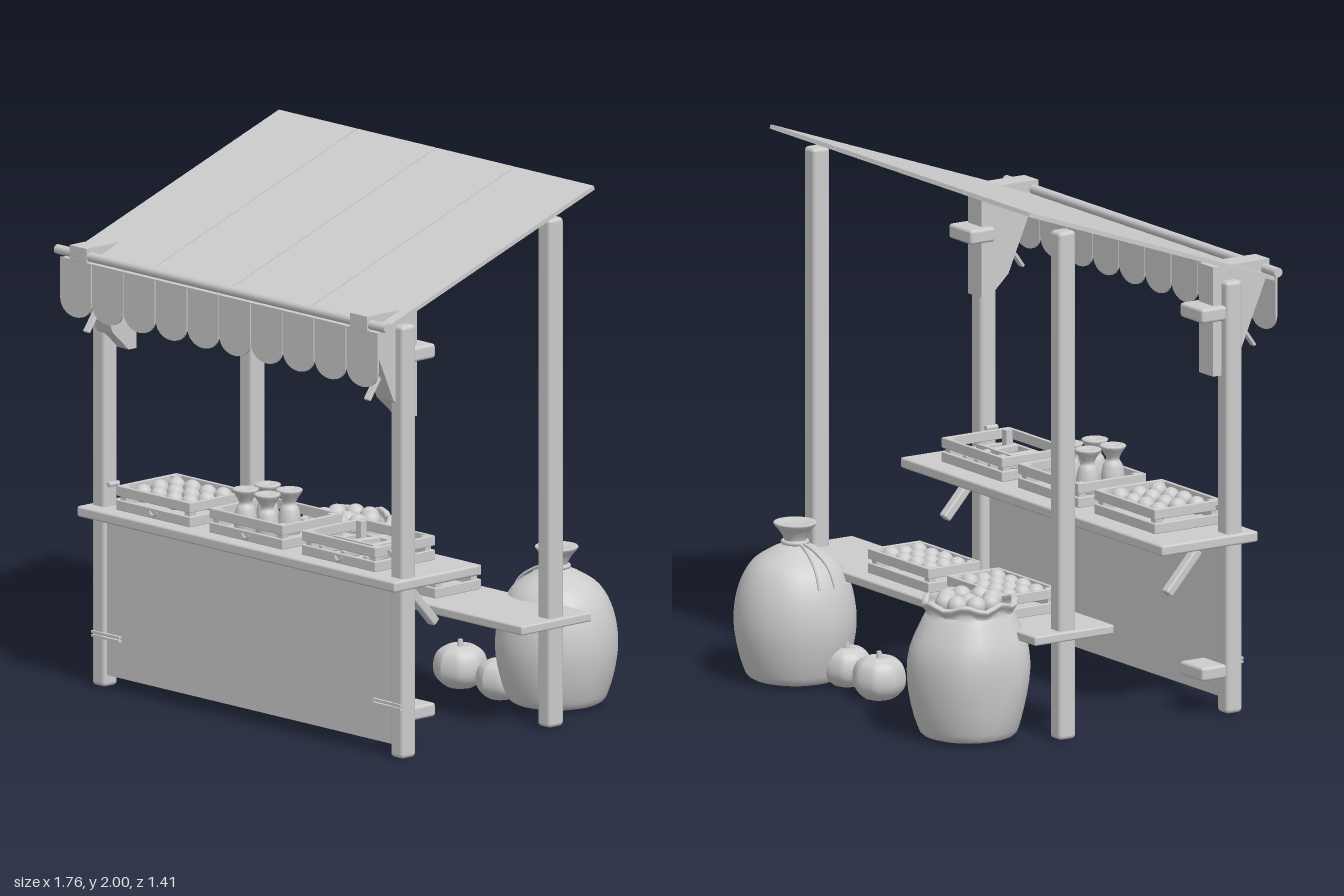
import * as THREE from 'three';
import { RoundedBoxGeometry } from 'three/addons/geometries/RoundedBoxGeometry.js';

const grey = new THREE.MeshStandardMaterial({ color: 0xcccccc, side: THREE.DoubleSide });
grey.name = 'plain grey';

export function createModel() {
  const root = new THREE.Group();
  root.name = 'marketStall';

  function add(name, geo, x = 0, y = 0, z = 0, parent = root) {
    const m = new THREE.Mesh(geo, grey);
    m.name = name;
    m.position.set(x, y, z);
    parent.add(m);
    return m;
  }
  const box = (name, w, h, d, x, y, z, parent) => add(name, new THREE.BoxGeometry(w, h, d), x, y, z, parent);
  const beam = (name, w, h, d, x, y, z, parent) =>
    add(name, new RoundedBoxGeometry(w, h, d, 2, Math.min(w, h, d) * 0.22), x, y, z, parent);
  const lathe = (pts, seg = 28) => new THREE.LatheGeometry(
    new THREE.SplineCurve(pts.map(p => new THREE.Vector2(...p))).getPoints(32).map(p => p.setX(Math.max(p.x, 0))), seg);
  const shapeOf = pts => new THREE.Shape(pts.map(p => new THREE.Vector2(...p)));

  // Posts, brackets, pegs and braces, mirrored on both sides
  const gusset = new THREE.ExtrudeGeometry(
    shapeOf([[0.707, 1.675], [0.457, 1.675], [0.457, 1.265], [0.495, 1.265], [0.575, 1.34], [0.692, 1.61], [0.707, 1.62]]),
    { depth: 0.09, bevelEnabled: false });
  gusset.rotateY(-Math.PI / 2); // profile x becomes z, depth runs to -x
  gusset.translate(0.045, 0, 0);
  for (const s of [-1, 1]) {
    beam('frontPost', 0.07, 1.62, 0.07, s * 0.797, 0.81, 0.529);
    beam('backPost', 0.07, 1.905, 0.074, s * 0.797, 0.9525, -0.207);
    add('roofBracket', gusset, s * 0.75, 0, 0);
    beam('upperPeg', 0.15, 0.055, 0.11, s * 0.75, 1.503, 0.445);
    beam('lowerPeg', 0.15, 0.052, 0.11, s * 0.75, 0.16, 0.445);
    for (const y of [0.187, 0.201]) box('panelStrap', 0.15, 0.009, 0.012, s * 0.75, y, 0.565);
    beam('counterBrace', 0.04, 0.2, 0.035, s * 0.72, 0.53, 0.37).rotation.x = 0.74;
    beam('valanceBrace', 0.03, 0.155, 0.012, s * 0.75, 1.412, 0.62).rotation.x = -0.62;
    const knob = add('sidePeg', new THREE.CylinderGeometry(0.01, 0.01, 0.05, 10), s * 0.75, 0.76, 0.53);
    knob.rotation.x = Math.PI / 2;
  }

  // Front panel, counter and back shelf
  box('frontPanel', 1.56, 0.6, 0.02, 0.003, 0.345, 0.54);
  beam('counter', 1.7, 0.04, 0.425, 0, 0.655, 0.408);
  beam('backShelf', 1.7, 0.035, 0.35, 0, 0.392, -0.19);

  // Sloping roof in four boards
  const roof = new THREE.Group();
  roof.name = 'roof';
  roof.position.set(0, 1.802, 0.158);
  roof.rotation.x = Math.atan2(0.385, 1.085);
  for (let i = 0; i < 4; i++) box('roofBoard', 0.417, 0.016, 1.15, -0.633 + i * 0.422, 0, 0, roof);
  root.add(roof);

  // Front rail and scalloped valance
  const rail = add('frontRail', new THREE.CylinderGeometry(0.018, 0.018, 1.765, 12), 0, 1.642, 0.686);
  rail.rotation.z = Math.PI / 2;
  const scallop = new THREE.Shape();
  scallop.moveTo(-0.083, 0);
  scallop.lineTo(-0.083, -0.15);
  scallop.bezierCurveTo(-0.08, -0.235, 0.08, -0.235, 0.083, -0.15);
  scallop.lineTo(0.083, 0);
  const scallopGeo = new THREE.ExtrudeGeometry(scallop, { depth: 0.008, bevelEnabled: false, curveSegments: 14 });
  for (let i = 0; i < 10; i++) add('valanceScallop', scallopGeo, (i - 4.5) * 0.17, 1.622, 0.697);

  // Slatted crates
  function crate(x, y, z, w, d, h = 0.095) {
    const g = new THREE.Group();
    g.name = 'crate';
    g.position.set(x, y, z);
    root.add(g);
    box('crateBase', w - 0.02, 0.012, d - 0.02, 0, 0.012, 0, g);
    for (const s of [-1, 1]) {
      for (const k of [0.24, 0.8]) {
        beam('longSlat', w, h * 0.4, 0.014, 0, h * k, s * (d / 2 - 0.007), g);
        beam('endSlat', 0.014, h * 0.4, d, s * (w / 2 - 0.007), h * k, 0, g);
      }
      for (const t of [-1, 1]) box('cornerBlock', 0.03, h * 0.95, 0.03, s * (w / 2 - 0.026), h * 0.5, t * (d / 2 - 0.026), g);
    }
    const handle = add('crateHandle', new THREE.TorusGeometry(0.018, 0.006, 6, 12, Math.PI), 0, h * 0.35, d / 2, g);
    handle.rotation.z = Math.PI;
    return g;
  }
  const fruit = new THREE.SphereGeometry(0.034, 14, 10);
  function fillFruit(g, w, d, y) {
    for (let i = 0; i < 4; i++) for (let j = 0; j < 3; j++)
      add('fruit', fruit, (i - 1.5) * (w - 0.06) / 4, y + 0.004 * ((i + j) % 2), (j - 1) * (d - 0.05) / 3, g);
  }
  const cz = 0.42, cd = 0.3, cw = 0.393;
  fillFruit(crate(-0.495, 0.675, cz, cw, cd), cw, cd, 0.068);

  // Middle crate with tied jars
  const jars = crate(0, 0.675, cz, cw, cd);
  const jarGeo = lathe([[0, 0], [0.035, 0.002], [0.044, 0.05], [0.036, 0.1], [0.024, 0.122], [0.034, 0.145], [0.05, 0.172], [0.03, 0.176], [0, 0.168]], 12);
  for (const x of [-0.06, 0.057]) for (const z of [-0.015, 0.095]) add('jar', jarGeo, x, 0.008, z, jars);

  // Right crate with divider sticks
  const tray = crate(0.495, 0.675, cz, cw, cd);
  for (const x of [-0.1, 0, 0.1]) {
    const stick = beam('divider', 0.025, 0.03, cd - 0.04, x, 0.035, 0, tray);
    stick.rotation.y = x * 1.5;
  }
  box('crossDivider', cw - 0.03, 0.03, 0.014, 0, 0.04, 0, tray);

  // Crates on the back shelf
  for (const x of [0.12, -0.39]) fillFruit(crate(x, 0.41, -0.195, cw, 0.23), cw, 0.23, 0.07);

  // Tied sack
  const tied = new THREE.Group();
  tied.name = 'tiedSack';
  tied.position.set(0.535, 0, -0.482);
  root.add(tied);
  add('sackBody', lathe([[0, 0], [0.15, 0.003], [0.195, 0.06], [0.225, 0.2], [0.212, 0.33], [0.165, 0.43], [0.09, 0.485], [0.042, 0.505]]), 0, 0, 0, tied);
  const neck = lathe([[0.042, 0.5], [0.04, 0.52], [0.055, 0.55], [0.08, 0.585], [0.04, 0.582], [0, 0.578]]);
  add('sackNeck', neck, 0, 0, 0, tied);
  const tie = add('sackTie', new THREE.TorusGeometry(0.044, 0.009, 8, 20), 0, 0.512, 0, tied);
  tie.rotation.x = Math.PI / 2;
  for (const a of [-0.15, 0.2]) {
    const path = new THREE.CatmullRomCurve3([[0.045, 0.51], [0.1, 0.49], [0.17, 0.44], [0.205, 0.37]]
      .map(([r, y]) => new THREE.Vector3(-r * Math.cos(a), y, r * Math.sin(a))));
    add('tieEnd', new THREE.TubeGeometry(path, 12, 0.006, 6), 0, 0, 0, tied);
  }

  // Open sack with a wavy rim
  const open = new THREE.Group();
  open.name = 'openSack';
  open.position.set(-0.565, 0, -0.465);
  root.add(open);
  const sackGeo = lathe([[0, 0], [0.15, 0.003], [0.19, 0.05], [0.22, 0.2], [0.218, 0.33], [0.175, 0.44], [0.158, 0.475], [0.176, 0.505], [0.15, 0.51], [0.14, 0.47], [0, 0.465]], 32);
  const p = sackGeo.attributes.position;
  for (let i = 0; i < p.count; i++) {
    const a = Math.atan2(p.getZ(i), p.getX(i)), y = p.getY(i);
    const k = 1 + 0.035 * Math.sin(a * 5 + y * 6) * Math.min(1, y * 5);
    p.setXYZ(i, p.getX(i) * k, y + (y > 0.47 ? 0.01 * Math.sin(a * 7) : 0), p.getZ(i) * k);
  }
  sackGeo.computeVertexNormals();
  add('sackBody', sackGeo, 0, 0, 0, open);
  const ball = new THREE.SphereGeometry(0.037, 16, 12);
  for (let i = 0; i < 8; i++) {
    const a = i * Math.PI / 4 + 0.3;
    add('sackFruit', ball, 0.09 * Math.cos(a), 0.503, 0.09 * Math.sin(a), open);
  }
  add('sackFruit', ball, 0, 0.495, 0, open);

  // Ribbed gourds on the ground
  function gourd(x, z, r) {
    const geo = lathe([[0, 0.012], [0.5, 0], [0.9, 0.35], [1, 0.8], [0.85, 1.3], [0.45, 1.55], [0.15, 1.5], [0, 1.4]], 40);
    const q = geo.attributes.position;
    for (let i = 0; i < q.count; i++) {
      const k = 1 - 0.05 * Math.abs(Math.sin(4 * Math.atan2(q.getZ(i), q.getX(i))));
      q.setXYZ(i, q.getX(i) * k, q.getY(i), q.getZ(i) * k);
    }
    geo.scale(r, r, r);
    geo.computeVertexNormals();
    add('gourd', geo, x, 0, z);
    add('gourdStem', new THREE.CylinderGeometry(r * 0.09, r * 0.14, r * 0.4, 8), x, r * 1.55, z);
  }
  gourd(0.103, -0.405, 0.1);
  gourd(0.34, -0.385, 0.092);

  return root;
}
